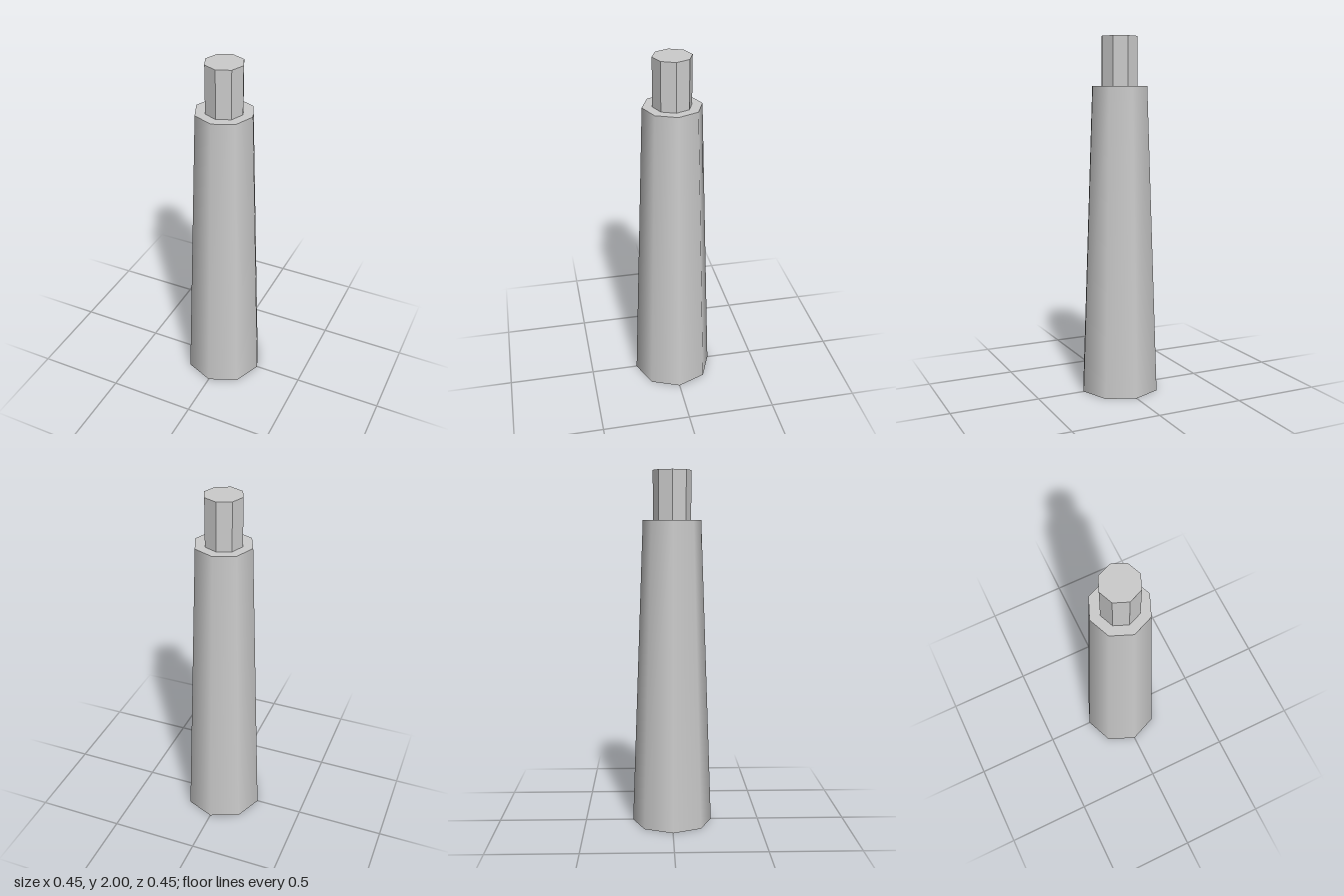
import * as THREE from 'three';

const SIDES = 8;
const SHOULDER = 1.73; // height where the thick shaft ends
const TOP = 2;

// Eight-sided column standing between two heights
function column(name, topRadius, bottomRadius, y0, y1, flatShading) {
  const geometry = new THREE.CylinderGeometry(topRadius, bottomRadius, y1 - y0, SIDES);
  const material = new THREE.MeshStandardMaterial({ color: 0xcccccc, flatShading });
  const mesh = new THREE.Mesh(geometry, material);
  mesh.name = name;
  mesh.position.y = (y0 + y1) / 2;
  return mesh;
}

export function createModel() {
  const group = new THREE.Group();
  group.name = 'taperedPost';

  // Tapered, smooth-shaded shaft with flat ends
  group.add(column('shaft', 0.162, 0.227, 0, SHOULDER, false));

  // Straight, faceted peg on top
  group.add(column('peg', 0.106, 0.106, SHOULDER, TOP, true));

  return group;
}
